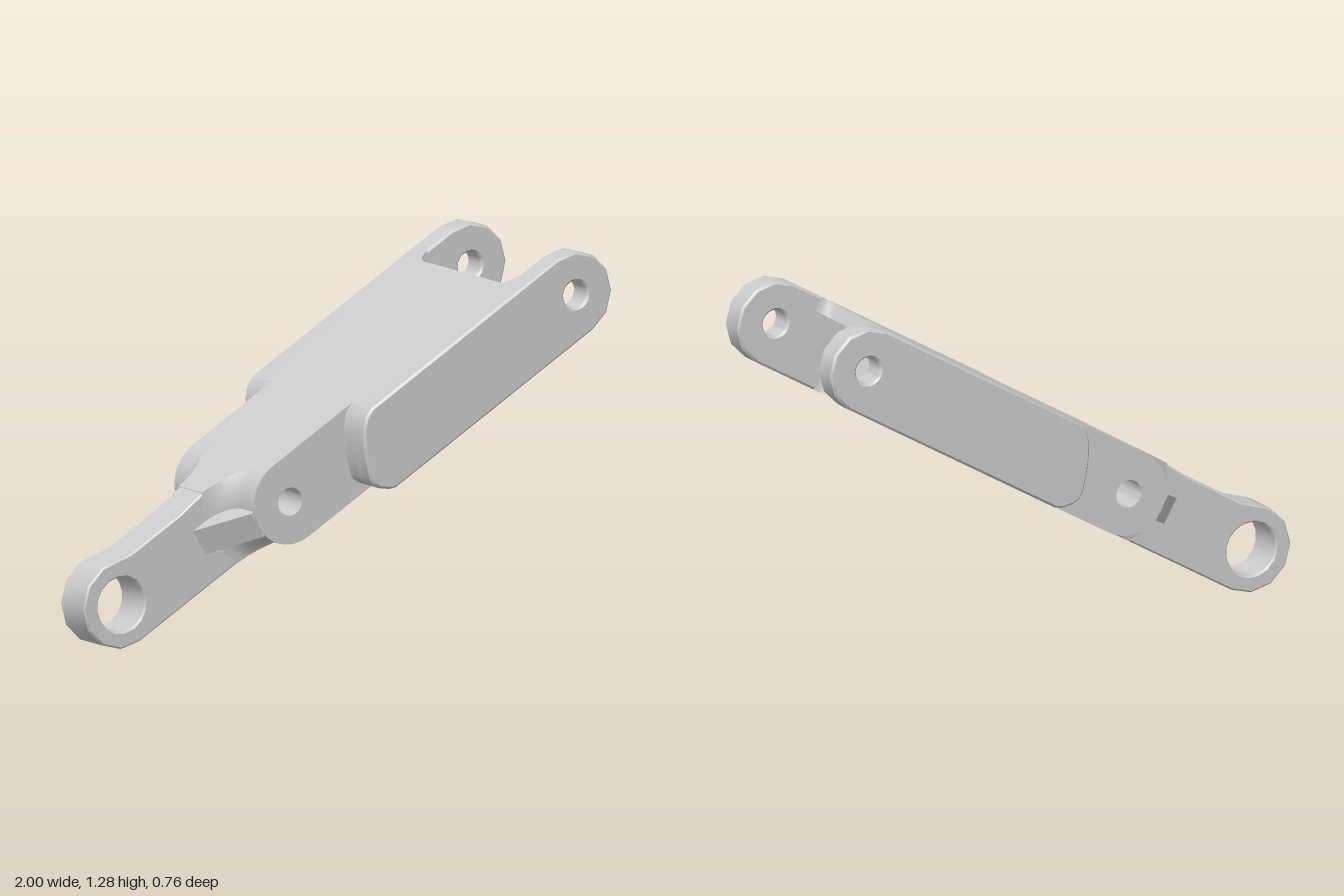
import * as THREE from 'three';
import { toCreasedNormals } from 'three/addons/utils/BufferGeometryUtils.js';

// The link is drawn flat: u along its length, v across its thickness, z sideways.
const TOP = 0.145, BOTTOM = -0.157, MID = -0.006, HALF = 0.151;
const PIN_U = 0.672, END_U = 1.946;
const material = new THREE.MeshStandardMaterial({ color: 0xcccccc, side: THREE.DoubleSide });

// Points on an arc, angles in degrees
function arc(cx, cy, r, from, to, n) {
  return Array.from({ length: n + 1 }, (_, i) => {
    const a = THREE.MathUtils.degToRad(from + (to - from) * i / n);
    return new THREE.Vector2(cx + r * Math.cos(a), cy + r * Math.sin(a));
  });
}
const pts = list => list.map(([x, y]) => new THREE.Vector2(x, y));
const hole = (x, y, r, n) => new THREE.Path(arc(x, y, r, 360, 0, n));

function addMesh(group, name, geometry) {
  const mesh = new THREE.Mesh(toCreasedNormals(geometry, 0.6), material);
  mesh.name = name;
  group.add(mesh);
  return mesh;
}

// Side outline extruded along z from z0 to z1, with a small edge chamfer
function sideExtrude(points, holes, z0, z1, bevel = 0.008) {
  const shape = new THREE.Shape(points);
  shape.holes.push(...holes);
  return new THREE.ExtrudeGeometry(shape, {
    depth: z1 - z0 - 2 * bevel, bevelEnabled: bevel > 0, bevelSegments: 1,
    bevelSize: bevel, bevelThickness: bevel, bevelOffset: -bevel,
  }).translate(0, 0, z0 + bevel);
}

// Plan outline (given for +z, mirrored to -z) extruded through the thickness
const mirrored = half => [...half, ...half.map(p => new THREE.Vector2(p.x, -p.y)).reverse()];
function planExtrude(half, cutout, v0, v1) {
  const shape = new THREE.Shape(mirrored(half));
  if (cutout) shape.holes.push(new THREE.Path(mirrored(cutout)));
  return new THREE.ExtrudeGeometry(shape, { depth: v1 - v0, bevelEnabled: false })
    .rotateX(-Math.PI / 2).translate(0, v0, 0);
}

// Lobe outline around the pin, cut flat at top and bottom
function lobeOutline(r) {
  const a = THREE.MathUtils.radToDeg(Math.asin(Math.min(1, HALF / r)));
  return [...arc(PIN_U, MID, r, 180 - a, 180 + a, 16), ...pts([[0.8, BOTTOM], [0.8, TOP]])];
}

// Both lobes, flowing into the tongue with a concave fillet
function lobeGeometry() {
  const side = [[0.25, HALF]];
  for (let i = 0; i <= 6; i++) {
    const t = i / 6 * Math.PI / 2;
    side.push([0.175 - 0.1 * Math.sin(t), HALF + 0.1 * (1 - Math.cos(t))]);
  }
  const levels = [...side.map(([z, r]) => [-z, r]), ...side.reverse()];
  const position = [], index = [];
  const n = lobeOutline(HALF).length;
  levels.forEach(([z, r], k) => {
    lobeOutline(r).forEach((p, j) => {
      position.push(p.x, p.y, z);
      if (k === 0) return;
      const b = k * n + j, b2 = k * n + (j + 1) % n;
      index.push(b - n, b2 - n, b2, b - n, b2, b);
    });
  });
  const geometry = new THREE.BufferGeometry();
  geometry.setAttribute('position', new THREE.Float32BufferAttribute(position, 3));
  geometry.setIndex(index);
  return geometry;
}

export function createModel() {
  const model = new THREE.Group();
  model.name = 'linkArm';
  const link = new THREE.Group();
  link.name = 'link';
  link.position.set(-0.843, 0.158, 0);
  link.rotation.z = Math.PI / 6;
  model.add(link);

  // Narrow tongue with the large eye
  const tongue = [
    ...arc(0, 0, 0.157, 90, 270, 6),
    ...pts([[0.8, BOTTOM], [0.8, TOP], [0.5, TOP], [0.36, 0.131], [0.12, 0.131], [0.06, 0.145]]),
  ];
  addMesh(link, 'tongue', sideExtrude(tongue,
    [hole(0, 0, 0.098, 16), hole(PIN_U, MID, 0.05, 24)], -0.075, 0.075, 0.006));

  // Pin lobes with end faces and bore
  addMesh(link, 'pinLobes', lobeGeometry());
  const face = new THREE.Shape(lobeOutline(HALF));
  face.holes.push(hole(PIN_U, MID, 0.05, 24));
  for (const z of [-0.25, 0.25]) {
    const cap = new THREE.ShapeGeometry(face);
    if (z < 0) {
      const idx = cap.index.array;
      for (let i = 0; i < idx.length; i += 3) [idx[i], idx[i + 1]] = [idx[i + 1], idx[i]];
      const normals = cap.attributes.normal;
      for (let i = 0; i < normals.count; i++) normals.setZ(i, -1);
    }
    addMesh(link, 'lobeFace', cap.translate(0, 0, z));
  }
  addMesh(link, 'pinBore', new THREE.CylinderGeometry(0.05, 0.05, 0.5, 24, 1, true)
    .rotateX(Math.PI / 2).translate(PIN_U, MID, 0));

  // Thin gussets from tongue to lobes
  addMesh(link, 'gussets', planExtrude(
    pts([[0.37, 0.073], [0.52, 0.245], [0.6, 0.245]]), null, -0.05, 0.05));

  // Body walls around the stepped pocket that opens downwards, closed by a rib
  const pocket = [
    ...arc(0.842, 0.165, 0.04, 180, 90, 4),
    ...arc(1.02, 0.235, 0.03, 270, 360, 4),
    ...arc(1.095, 0.24, 0.045, 180, 90, 4),
    ...arc(1.547, 0.24, 0.045, 90, 0, 4),
  ];
  const ribEnd = u => [new THREE.Vector2(u + 0.05, 0.3), ...arc(u + 0.05, 0.235, 0.05, 90, 180, 5)];
  addMesh(link, 'bodyWalls', planExtrude(
    [...pts([[0.75, 0.25], [1.01, 0.25], [1.01, 0.3]]), ...ribEnd(1.632)], pocket, BOTTOM, 0.1));

  // Top plate, overhanging the rib
  addMesh(link, 'topPlate', planExtrude(
    [...pts([[0.75, 0.25], [1.055, 0.25], [1.055, 0.3]]), ...ribEnd(1.774)], null, 0.092, TOP));

  // Fork side plates with bowed rear ends
  const nose = pts([[1.055, TOP], [1.02, 0.13], [0.99, 0.097], [0.965, 0.05], [0.945, 0],
    [0.925, -0.07], [0.926, -0.092], [0.942, -0.12], [0.975, -0.147], [1.0, BOTTOM]]);
  const plate = [...nose, ...arc(END_U, MID, HALF, -90, 90, 6)];
  const spacer = [...nose, ...pts([[1.04, BOTTOM], [1.04, 0.1], [1.055, 0.1]])];
  for (const s of [-1, 1]) {
    const name = s > 0 ? 'front' : 'back';
    const inner = s > 0 ? 0.285 : -0.378, outer = s > 0 ? 0.378 : -0.285;
    addMesh(link, name + 'ForkPlate',
      sideExtrude(plate, [hole(END_U, MID, 0.048, 24)], inner, outer));
    addMesh(link, name + 'PlateShoulder',
      sideExtrude(spacer, [], s > 0 ? 0.24 : -0.3, s > 0 ? 0.3 : -0.24, 0));
  }
  return model;
}
